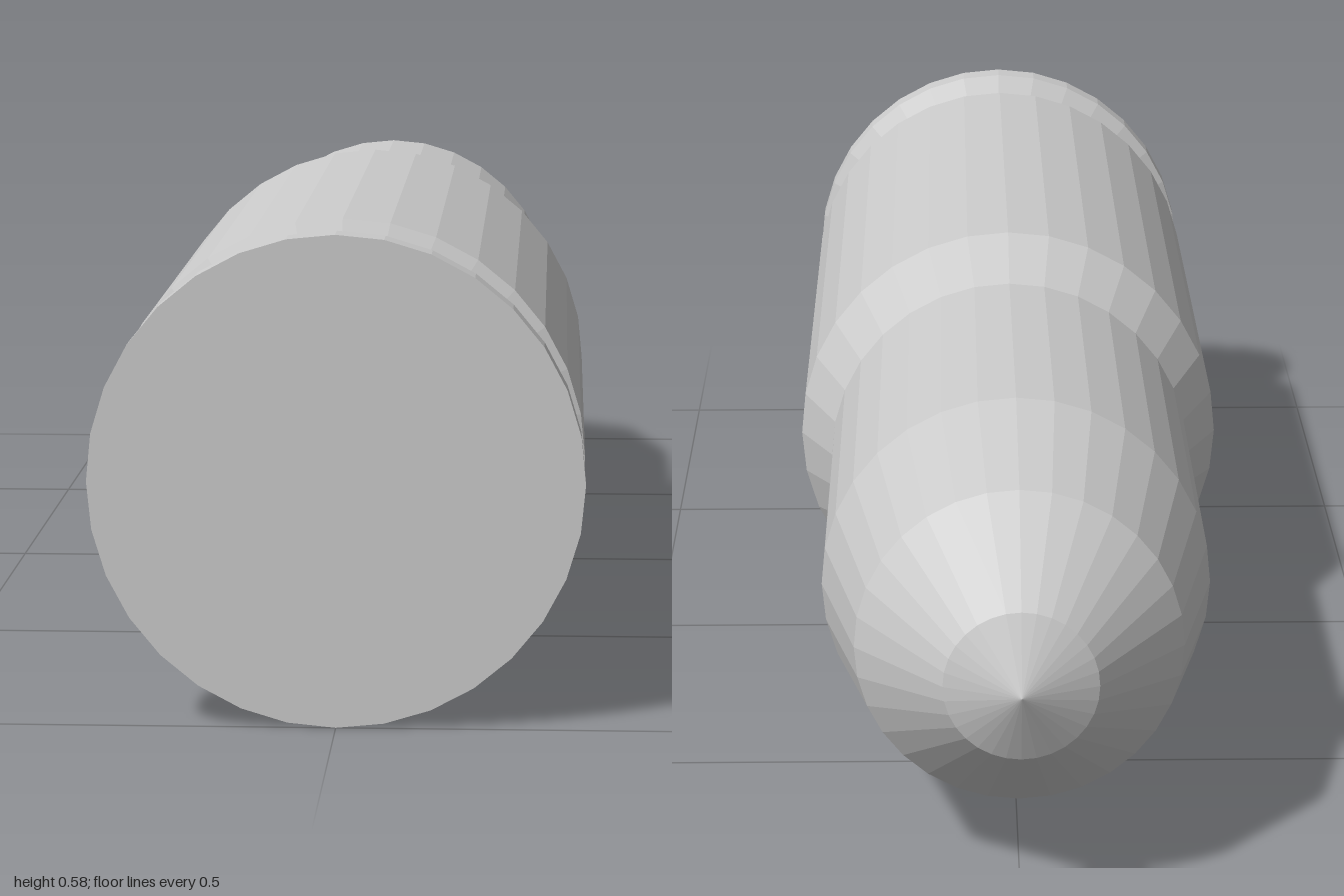
import * as THREE from 'three';

const RADIUS = 0.29;
const SIDES = 32;

// Each profile lists [radius, z] from the base (front, +z) to the tip (back, -z).
const PROFILES = {
  rim: [[0, 1], [RADIUS, 1], [RADIUS, 0.96]],
  extractorGroove: [[RADIUS, 0.96], [0.2, 0.905], [0.2, 0.87], [RADIUS, 0.835]],
  caseBody: [[RADIUS, 0.835], [RADIUS, 0]],
  caseShoulder: [[RADIUS, 0], [0.245, -0.1]],
  bulletShank: [[0.245, -0.1], [0.245, -0.61]],
  bulletNose: [[0.245, -0.61], [0.2, -0.83], [0.093, -0.96], [0, -1]],
};

export function createModel() {
  const group = new THREE.Group();
  group.name = 'cartridge';
  const material = new THREE.MeshStandardMaterial({ color: 0xcccccc, flatShading: true });

  // Turn every profile about the long axis and lay it along z
  for (const [name, profile] of Object.entries(PROFILES)) {
    const points = profile.map(([r, z]) => new THREE.Vector2(r, -z));
    const geometry = new THREE.LatheGeometry(points, SIDES);
    geometry.rotateX(-Math.PI / 2);
    geometry.translate(0, RADIUS, 0);
    const mesh = new THREE.Mesh(geometry, material);
    mesh.name = name;
    group.add(mesh);
  }
  return group;
}
